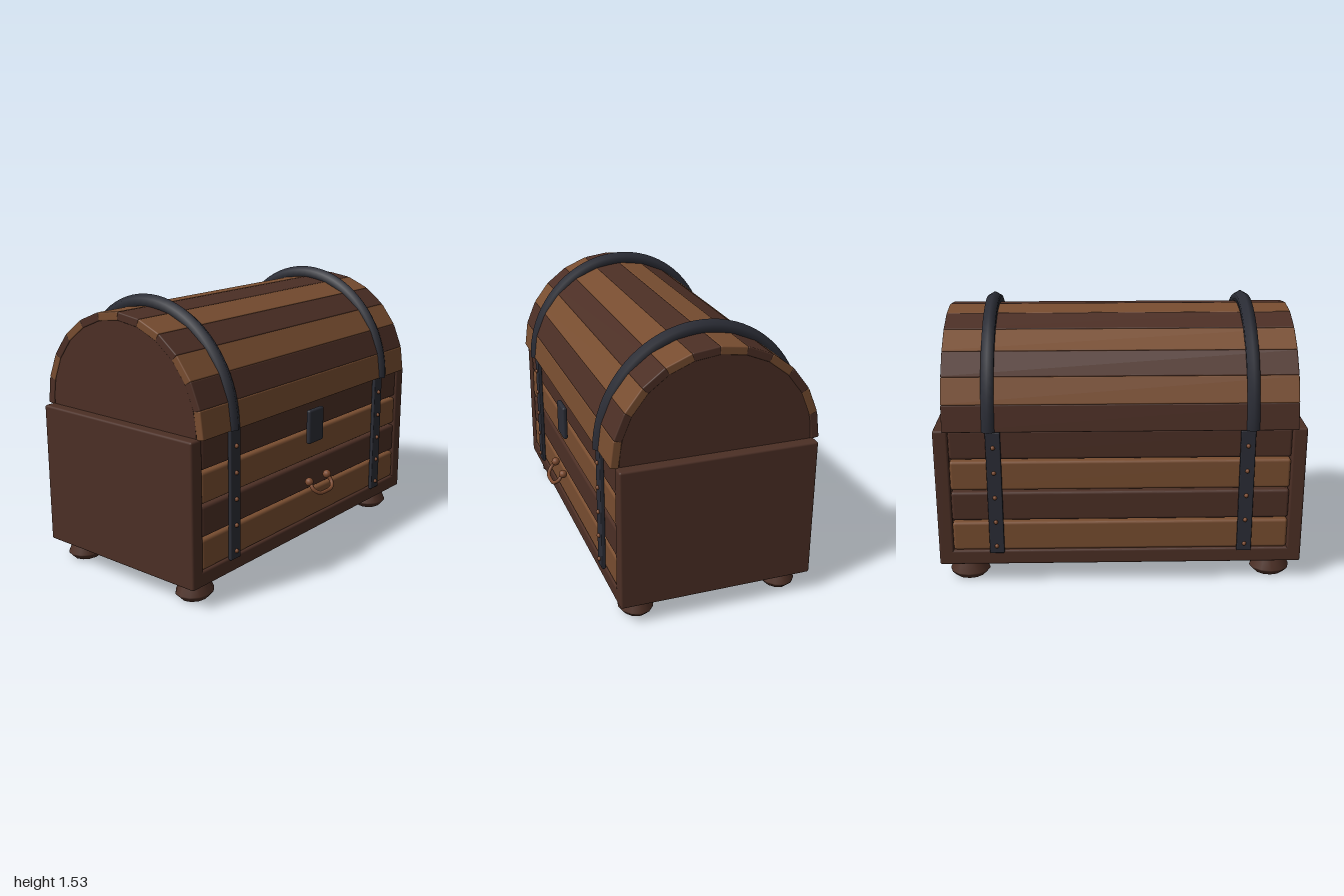
import * as THREE from 'three';
import { RoundedBoxGeometry } from 'three/addons/geometries/RoundedBoxGeometry.js';

const mat = (name, color) => {
  const m = new THREE.MeshStandardMaterial({ color });
  m.name = name;
  return m;
};

export function createModel() {
  const lightWood = mat('light wood', 0x784d30);
  const darkWood = mat('dark wood', 0x4c2f25);
  const iron = mat('dark iron', 0x2b2d36);
  const bronze = mat('bronze', 0x7c4a2f);

  const chest = new THREE.Group();
  chest.name = 'chest';
  const add = (name, geo, material, x = 0, y = 0, z = 0, parent = chest) => {
    const m = new THREE.Mesh(geo, material);
    m.name = name;
    m.position.set(x, y, z);
    parent.add(m);
    return m;
  };
  const box = (w, h, d, r) => new RoundedBoxGeometry(w, h, d, 2, r);

  const CZ = -0.0375; // middle of the body in z
  const TOP = 0.9;    // seam between body and lid

  // Body: base slab and two side boards
  add('baseBoard', box(1.98, 0.085, 1.075, 0.012), darkWood, 0, 0.1575, CZ);
  for (const s of [-1, 1]) {
    add('sideBoard', box(0.08, TOP - 0.115, 1.075, 0.012), darkWood, s * 0.96, (TOP + 0.115) / 2, CZ);
  }

  // Front and back planks with narrow gaps between them
  for (const s of [-1, 1]) {
    for (let i = 0; i < 4; i++) {
      add(s > 0 ? 'frontPlank' : 'backPlank', box(1.84, 0.167, 0.06, 0.016),
        i % 2 ? darkWood : lightWood, 0, 0.2835 + i * 0.1778, CZ + s * 0.502);
    }
  }

  // Lid: twelve staves around a half circle
  const lid = new THREE.Group();
  lid.name = 'lid';
  lid.position.set(0, TOP, CZ);
  chest.add(lid);
  const staves = 12, R = 0.562, thick = 0.045, step = Math.PI / staves;
  for (let i = 0; i < staves; i++) {
    const a = (i + 0.5) * step, r = R - thick / 2;
    const stave = add('lidStave', box(1.89, thick, 2 * R * Math.tan(step / 2), 0.007),
      i % 2 ? darkWood : lightWood, 0, r * Math.sin(a), r * Math.cos(a), lid);
    stave.rotation.x = Math.PI / 2 - a;
  }

  // Arched lid ends
  const arch = new THREE.Shape();
  arch.absellipse(0, 0, 0.517, 0.56, 0, Math.PI, false, 0);
  arch.closePath();
  const endGeo = new THREE.ExtrudeGeometry(arch, { depth: 0.04, bevelEnabled: false, curveSegments: 32 });
  endGeo.translate(0, 0, -0.02).rotateY(Math.PI / 2);
  for (const s of [-1, 1]) add('lidEnd', endGeo, darkWood, s * 0.921, 0, 0, lid);

  // Iron hoops over the lid, iron straps and rivets on the body
  const hoopGeo = new THREE.TorusGeometry(0.586, 0.0395, 6, 40, Math.PI);
  hoopGeo.rotateY(Math.PI / 2).scale(1, 1, 0.935);
  const strapGeo = box(0.08, 0.705, 0.022, 0.006);
  const rivetGeo = new THREE.SphereGeometry(0.012, 10, 8);
  for (const sx of [-1, 1]) {
    add('lidHoop', hoopGeo, iron, sx * 0.7, 0, 0, lid);
    for (const sz of [-1, 1]) {
      add('strap', strapGeo, iron, sx * 0.68, 0.5425, CZ + sz * 0.542);
      for (let i = 0; i < 5; i++) {
        add('rivet', rivetGeo, bronze, sx * 0.68, 0.235 + i * 0.1435, CZ + sz * 0.556);
      }
    }
  }

  // Lock plate
  add('lockPlate', box(0.137, 0.195, 0.028, 0.012), iron, -0.003, 0.763, 0.527);

  // Drop handle with ball ends
  const handle = new THREE.Group();
  handle.name = 'handle';
  handle.position.x = -0.004;
  chest.add(handle);
  for (const s of [-1, 1]) {
    add('handleKnob', new THREE.SphereGeometry(0.024, 14, 10), bronze, s * 0.086, 0.457, 0.557, handle);
  }
  const path = new THREE.CatmullRomCurve3([
    [-0.086, 0.452, 0.562], [-0.088, 0.42, 0.588], [-0.06, 0.397, 0.608], [0, 0.392, 0.612],
    [0.06, 0.397, 0.608], [0.088, 0.42, 0.588], [0.086, 0.452, 0.562],
  ].map((p) => new THREE.Vector3(...p)));
  add('handleBar', new THREE.TubeGeometry(path, 32, 0.011, 8), bronze, 0, 0, 0, handle);

  // Turned feet, slightly wider than deep
  const profile = [[0, 0], [0.078, 0], [0.082, 0.002], [0.11, 0.03], [0.111, 0.038], [0.078, 0.108], [0.075, 0.118]]
    .map(([x, y]) => new THREE.Vector2(x, y));
  const footGeo = new THREE.LatheGeometry(profile, 12);
  footGeo.scale(1, 1, 0.86);
  for (const x of [-0.85, 0.85]) {
    for (const z of [0.375, -0.45]) add('foot', footGeo, darkWood, x, 0, z);
  }

  return chest;
}
